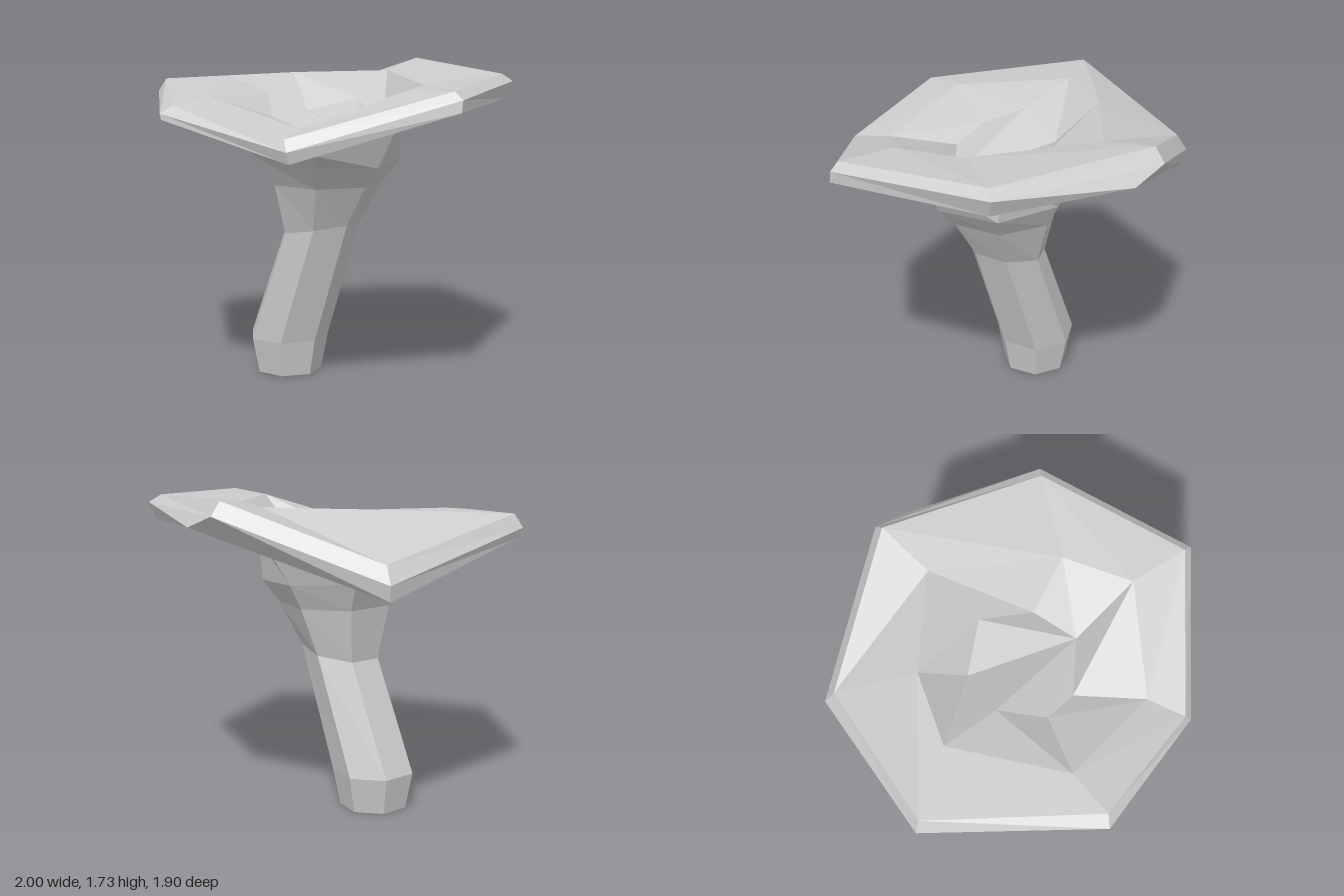
import * as THREE from 'three';

const SIDES = 7;

// Seven-sided ring: leaning centre, radius and slope along x
function ring(cx, cz, r, y, slope = 0) {
  return Array.from({ length: SIDES }, (_, i) => {
    const a = THREE.MathUtils.degToRad(-95 + (i * 360) / SIDES);
    const dx = r * Math.cos(a);
    return [cx + dx, y + slope * dx, cz + r * Math.sin(a)];
  });
}

// Skin a list of rings; the last ring can be closed by a fan from one corner
function loft(rings, { capStart = false, fanCorner = -1 } = {}) {
  const pos = [];
  const tri = (...pts) => pts.forEach((p) => pos.push(...p));
  for (let k = 0; k < rings.length - 1; k++) {
    const a = rings[k], b = rings[k + 1];
    for (let i = 0; i < SIDES; i++) {
      const j = (i + 1) % SIDES;
      tri(a[i], b[i], b[j]);
      tri(a[i], b[j], a[j]);
    }
  }
  const first = rings[0], last = rings[rings.length - 1];
  if (capStart) {
    for (let i = 1; i < SIDES - 1; i++) tri(first[0], first[i], first[i + 1]);
  }
  if (fanCorner >= 0) {
    for (let n = 1; n < SIDES - 1; n++) {
      const i = (fanCorner + n) % SIDES, j = (i + 1) % SIDES;
      tri(last[fanCorner], last[j], last[i]);
    }
  }
  const geo = new THREE.BufferGeometry();
  geo.setAttribute('position', new THREE.Float32BufferAttribute(pos, 3));
  geo.computeVertexNormals();
  return geo;
}

export function createModel() {
  const group = new THREE.Group();
  const material = new THREE.MeshStandardMaterial({
    color: 0xcccccc, flatShading: true, side: THREE.DoubleSide,
  });
  const add = (name, geo) => {
    const mesh = new THREE.Mesh(geo, material);
    mesh.name = name;
    group.add(mesh);
  };

  // Corners of every cap ring run from the back, round by +x, to the front
  const neck = [
    [0.03, 1.45, -0.46], [0.28, 1.44, -0.26], [0.53, 1.46, 0.09], [0.29, 1.3, 0.47],
    [-0.2, 1.38, 0.55], [-0.46, 1.38, 0.13], [-0.42, 1.31, -0.27],
  ];
  const rimBottom = [
    [0.1, 1.59, -0.93], [0.73, 1.55, -0.59], [1.0, 1.54, 0.23], [0.41, 1.3, 0.8],
    [-0.31, 1.48, 0.95], [-0.98, 1.51, 0.34], [-0.84, 1.28, -0.52],
  ];
  const rimOuter = [
    [-0.09, 1.66, -0.95], [0.75, 1.64, -0.62], [1.0, 1.6, 0.22], [0.41, 1.36, 0.82],
    [-0.32, 1.51, 0.95], [-1.0, 1.56, 0.34], [-0.85, 1.36, -0.53],
  ];
  const rimTop = [
    [-0.09, 1.73, -0.89], [0.71, 1.68, -0.57], [0.95, 1.64, 0.22], [0.38, 1.42, 0.8],
    [-0.28, 1.55, 0.9], [-0.96, 1.63, 0.32], [-0.8, 1.45, -0.5],
  ];
  const bowlEdge = [
    [-0.07, 1.67, -0.58], [0.48, 1.63, -0.18], [0.64, 1.63, 0.16], [0.3, 1.45, 0.61],
    [-0.27, 1.58, 0.65], [-0.63, 1.65, 0.14], [-0.47, 1.66, -0.22],
  ];
  const bowlFloor = [
    [-0.03, 1.53, -0.26], [0.24, 1.39, -0.14], [0.3, 1.37, 0.11], [0.06, 1.41, 0.33],
    [-0.13, 1.47, 0.34], [-0.31, 1.57, 0.16], [-0.26, 1.46, -0.1],
  ];

  // Leaning stem flaring into the neck
  add('stem', loft([
    ring(-0.28, 0.05, 0.185, 0),
    ring(-0.28, 0.05, 0.225, 0.2),
    ring(-0.04, 0.05, 0.215, 0.84, 0.18),
    ring(0, 0.05, 0.31, 1.1),
    ring(0.01, 0.06, 0.4, 1.235, -0.06),
    neck,
  ], { capStart: true }));

  // Wavy cap: underside, bevelled rim and sunken bowl
  add('cap', loft([neck, rimBottom, rimOuter, rimTop, bowlEdge, bowlFloor], { fanCorner: 2 }));

  return group;
}
